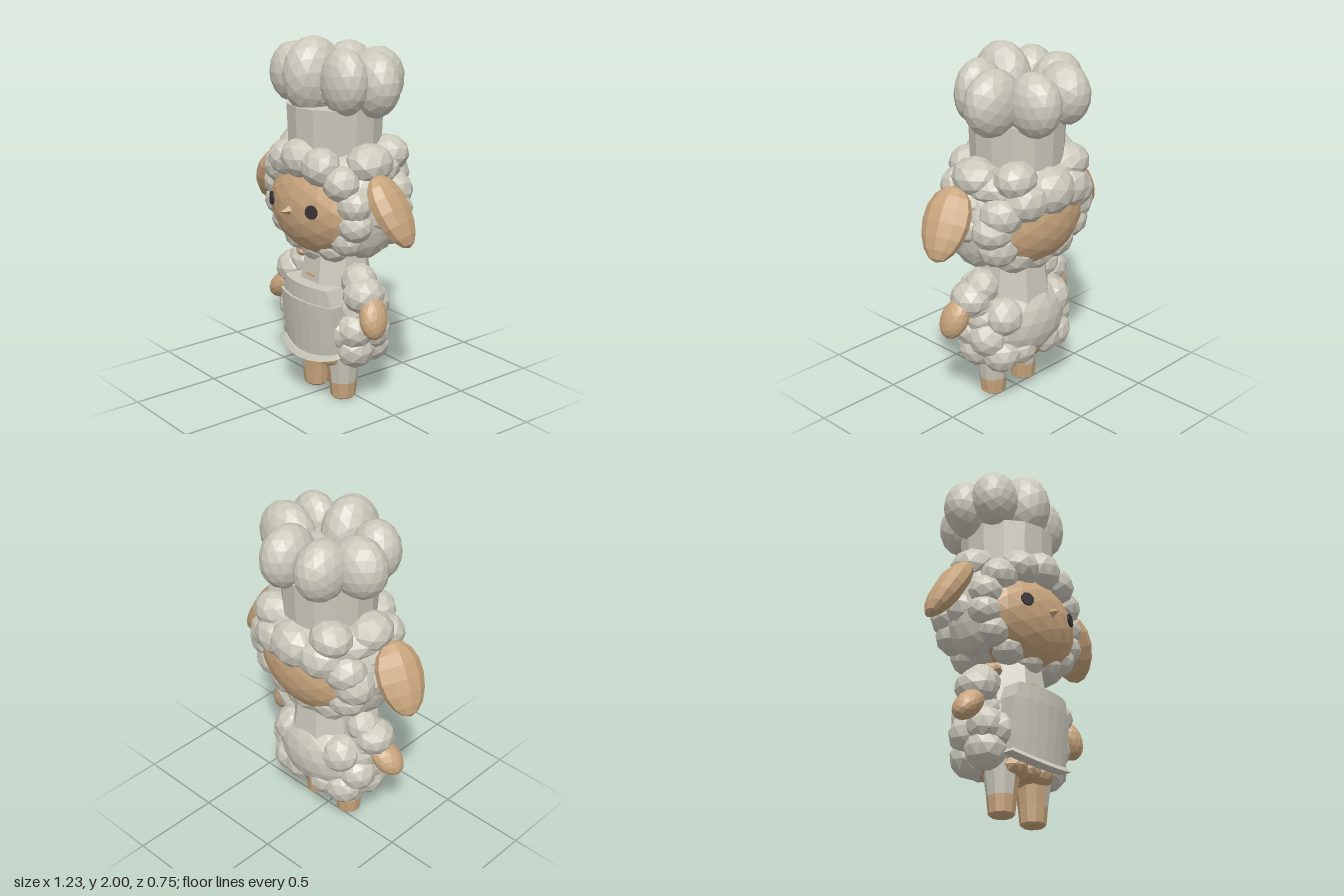
import * as THREE from 'three';

const mat = (name, color) => {
  const m = new THREE.MeshStandardMaterial({ color, flatShading: true });
  m.name = name;
  return m;
};

export function createModel() {
  const wool = mat('wool', 0xcbc8bb);
  const tan = mat('tan skin', 0xc8a57d);
  const dark = mat('dark eyes', 0x3a3337);
  const root = new THREE.Group();
  root.name = 'sheepChef';

  let seed = 7;
  const rnd = () => (seed = (seed * 16807) % 2147483647) / 2147483647;

  const section = (name) => {
    const g = new THREE.Group();
    g.name = name;
    root.add(g);
    return g;
  };
  const add = (parent, name, geo, material, x = 0, y = 0, z = 0) => {
    const m = new THREE.Mesh(geo, material);
    m.name = name;
    m.position.set(x, y, z);
    parent.add(m);
    return m;
  };
  // Faceted ellipsoid, turned at random before it is stretched
  const blob = (parent, name, material, [x, y, z], [rx, ry, rz], detail = 1) => {
    const geo = new THREE.IcosahedronGeometry(1.03, detail);
    geo.rotateX(rnd() * 6).rotateY(rnd() * 6).scale(rx, ry, rz);
    return add(parent, name, geo, material, x, y, z);
  };
  // Bent panel: sides curve back, and the lower corners near the hem rise
  const panel = (parent, name, wBottom, wTop, y0, y1, zBottom, zTop, thick, x) => {
    const geo = new THREE.BoxGeometry(1, 1, thick, 6, 3, 1);
    const p = geo.attributes.position;
    for (let i = 0; i < p.count; i++) {
      const t = p.getY(i) + 0.5;
      const px = p.getX(i) * (wBottom + (wTop - wBottom) * t);
      const y = y0 + (y1 - y0) * t;
      const pz = p.getZ(i) - thick / 2 + zBottom + (zTop - zBottom) * t - px * px;
      p.setXYZ(i, px, y + (y < 0.3 ? 0.7 * px * px : 0), pz);
    }
    geo.computeVertexNormals();
    return add(parent, name, geo, wool, x);
  };

  // Chef hat: band and a crown of puffs that meet in the middle
  const hat = section('hat');
  add(hat, 'hatBand', new THREE.CylinderGeometry(0.262, 0.252, 0.28, 14), wool, -0.01, 1.5, 0);
  blob(hat, 'hatFiller', wool, [-0.01, 1.72, -0.02], [0.25, 0.11, 0.22]);
  [
    [[-0.03, 1.79, 0.13], [0.135, 0.205, 0.17]],
    [[-0.23, 1.78, 0.11], [0.135, 0.16, 0.12]],
    [[-0.26, 1.76, -0.05], [0.16, 0.165, 0.125]],
    [[-0.145, 1.76, -0.2], [0.125, 0.165, 0.155]],
    [[0.085, 1.75, -0.21], [0.12, 0.17, 0.16]],
    [[0.23, 1.76, -0.06], [0.17, 0.175, 0.12]],
    [[0.18, 1.78, 0.09], [0.145, 0.175, 0.11]],
  ].forEach(([c, r]) => blob(hat, 'hatPuff', wool, c, r, 2));

  // Head: front and back of the face ball are flattened by a rule
  const head = section('head');
  const faceGeo = new THREE.IcosahedronGeometry(1.02, 3);
  const fp = faceGeo.attributes.position;
  for (let i = 0; i < fp.count; i++) {
    const z = fp.getZ(i);
    fp.setXYZ(i, fp.getX(i) * 0.365, fp.getY(i) * 0.28, Math.sign(z) * Math.abs(z) ** 0.75 * 0.31);
  }
  add(head, 'face', faceGeo, tan, 0, 1.09, 0.005);

  // Wool over the top, sides and underside of the head
  blob(head, 'woolCap', wool, [0, 1.31, -0.03], [0.37, 0.14, 0.27], 2);
  blob(head, 'woolChin', wool, [0, 0.925, -0.01], [0.28, 0.11, 0.22], 2);
  for (const s of [-1, 1]) {
    blob(head, 'woolSide', wool, [s * 0.28, 1.1, 0.02], [0.125, 0.25, 0.185], 2);
    blob(head, 'woolCurl', wool, [s * 0.29, 1.36, 0.01], [0.12, 0.105, 0.13]);
    blob(head, 'woolCurl', wool, [s * 0.2, 1.37, -0.19], [0.12, 0.1, 0.11]);
  }

  // Rings of curls around the face and the back of the head
  const curlRing = (n, rx, up, down, z, zTop, r, rTop) => {
    for (let i = 0; i < n; i++) {
      const a = (i / n) * Math.PI * 2 + Math.PI / 2;
      const s = Math.sin(a);
      const k = Math.max(0, s) ** 2;
      const rad = r + (rTop - r) * k;
      blob(head, 'woolCurl', wool,
        [rx * Math.cos(a), 1.1 + s * (s > 0 ? up : down), z + (zTop - z) * k],
        [rad * 1.15, rad * (0.98 + rnd() * 0.12), rad * 1.05]);
    }
  };
  curlRing(14, 0.33, 0.27, 0.225, 0.13, 0.235, 0.085, 0.1);
  curlRing(12, 0.315, 0.255, 0.19, 0, 0, 0.105, 0.115);
  curlRing(12, 0.305, 0.175, 0.2, -0.13, -0.24, 0.105, 0.125);

  // Eyes and nose
  for (const x of [-0.178, 0.17]) {
    const geo = new THREE.CylinderGeometry(0.038, 0.038, 0.009, 10).rotateX(Math.PI / 2);
    const eye = add(head, 'eye', geo, dark, x, 1.12, 0.3);
    eye.rotation.set(-0.08, Math.sign(x) * 0.34, 0);
  }
  add(head, 'nose', new THREE.ConeGeometry(0.032, 0.07, 4).rotateX(Math.PI / 2), tan, 0, 1.095, 0.338);

  // Drooping ears, front edge turned outwards
  for (const s of [-1, 1]) {
    const geo = new THREE.SphereGeometry(1, 10, 8);
    const p = geo.attributes.position;
    for (let i = 0; i < p.count; i++) {
      const w = 1 + 0.12 * p.getY(i);
      p.setXYZ(i, p.getX(i) * 0.075 * w, p.getY(i) * 0.205, p.getZ(i) * 0.135 * w);
    }
    const ear = add(head, 'ear', geo, tan, s * 0.495, 1.15, 0.025);
    ear.rotation.set(0, s * 0.28, s * 0.56);
  }

  // Body: tan belly below, woolly sides, smooth rounded back
  const body = section('body');
  blob(body, 'belly', tan, [0, 0.35, 0.01], [0.27, 0.16, 0.19], 2);
  for (const x of [-0.09, 0.01, 0.11]) {
    blob(body, 'bellyFold', tan, [x, 0.255, 0.1], [0.085, 0.06, 0.095]);
  }
  blob(body, 'bodyWool', wool, [0, 0.46, 0], [0.32, 0.22, 0.19], 2);
  blob(body, 'bodyBack', wool, [0, 0.47, -0.065], [0.26, 0.22, 0.165], 2);
  for (const s of [-1, 1]) {
    [
      [0.235, 0.325, 0.06, 0.11], [0.2, 0.32, -0.08, 0.11], [0.255, 0.44, 0.075, 0.105],
      [0.255, 0.42, -0.035, 0.11], [0.19, 0.42, 0.11, 0.1], [0.23, 0.53, 0.02, 0.115],
      [0.18, 0.54, -0.085, 0.115], [0.09, 0.33, -0.11, 0.1],
    ].forEach(([x, y, z, r]) => blob(body, 'bodyCurl', wool, [s * x, y, z], [r, r, r]));
  }

  // Apron: bib around the chest, waistband, skirt with hem
  const apron = section('apron');
  add(apron, 'bib', new THREE.CylinderGeometry(0.178, 0.222, 0.28, 8)
    .rotateY(Math.PI / 8).scale(1, 1, 0.95), wool, 0.01, 0.71, 0.01);
  panel(apron, 'waistband', 0.42, 0.365, 0.58, 0.675, 0.262, 0.262, 0.11, 0.02);
  panel(apron, 'skirt', 0.42, 0.45, 0.27, 0.585, 0.245, 0.275, 0.08, 0.015);
  panel(apron, 'hem', 0.46, 0.42, 0.25, 0.28, 0.275, 0.255, 0.07, 0.015);
  const gap = add(apron, 'bibGap', new THREE.BoxGeometry(0.07, 0.012, 0.009), tan, 0.015, 0.712, 0.19);
  gap.rotation.x = -0.14;

  // Arms: woolly shoulders and bare hands
  const arms = section('arms');
  for (const s of [-1, 1]) {
    blob(arms, 'shoulder', wool, [s * 0.235, 0.7, 0.03], [0.1, 0.1, 0.095]);
    blob(arms, 'sleeve', wool, [s * 0.3, 0.645, 0.05], [0.11, 0.1, 0.115]);
    blob(arms, 'cuff', wool, [s * 0.26, 0.6, 0.03], [0.1, 0.085, 0.095]);
    const hand = blob(arms, 'hand', tan,
      [s > 0 ? 0.405 : -0.378, s > 0 ? 0.55 : 0.525, 0.07], [0.065, 0.115, 0.08], 2);
    hand.rotation.set(-0.25, 0, s > 0 ? 0.35 : -0.8);
  }
  blob(arms, 'shoulderSkin', tan, [-0.195, 0.775, 0.05], [0.055, 0.04, 0.07]);

  // Legs: tan hooves, wool on the outer half and tan on the inner half
  const legs = section('legs');
  const fifth = Math.PI / 5;
  for (const s of [-1, 1]) {
    const x = s > 0 ? 0.13 : -0.11;
    add(legs, 'hoof', new THREE.CylinderGeometry(0.079, 0.07, 0.09, 10), tan, x, 0.055, 0.055);
    add(legs, 'hoofSole', new THREE.CylinderGeometry(0.07, 0.058, 0.012, 10), tan, x, 0.006, 0.055);
    const side = (name, m, start, count) => add(legs, name,
      new THREE.CylinderGeometry(0.102, 0.079, 0.18, count, 1, true, start * fifth, count * fifth),
      m, x, 0.19, 0.055);
    side('legOuter', wool, s > 0 ? 0 : 4, 6);
    side('legInner', tan, s > 0 ? 6 : 0, 4);
  }

  return root;
}
